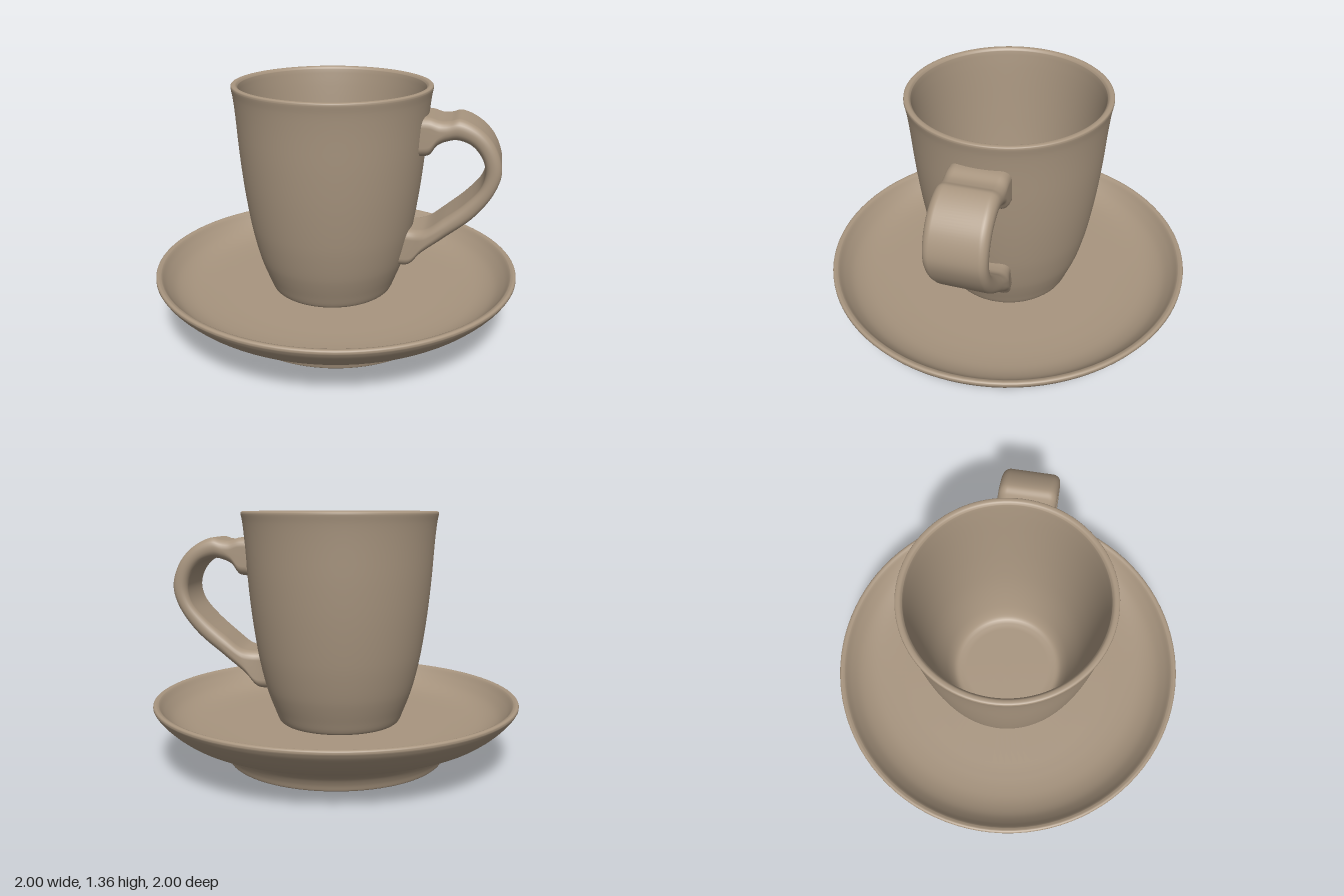
import * as THREE from 'three';

const clay = new THREE.MeshStandardMaterial({ color: 0xa8957f });
clay.name = 'clay';

// Smooth curve through [x, y] pairs
const curve = (pts) => new THREE.CatmullRomCurve3(
  pts.map(([x, y]) => new THREE.Vector3(x, y, 0)), false, 'centripetal');

// Turned body: each section is smoothed on its own, so section joints stay crisp
function turned(name, sections) {
  const profile = [];
  sections.forEach((pts, s) => {
    const steps = pts.length > 2 ? (pts.length - 1) * 4 : 6;
    curve(pts).getPoints(steps).forEach((p, i) => {
      if (s && i === 0) return;
      profile.push(new THREE.Vector2(Math.max(0, p.x), p.y));
    });
  });
  const mesh = new THREE.Mesh(new THREE.LatheGeometry(profile, 96), clay);
  mesh.name = name;
  return mesh;
}

// Outline of a rounded rectangle as [u, v] pairs
function roundedRect(halfU, halfV, r, n = 6) {
  const out = [];
  [[1, 1], [-1, 1], [-1, -1], [1, -1]].forEach(([su, sv], q) => {
    for (let i = 0; i <= n; i++) {
      const a = (q + i / n) * Math.PI / 2;
      out.push([su * (halfU - r) + r * Math.cos(a), sv * (halfV - r) + r * Math.sin(a)]);
    }
  });
  return out;
}

// Strap handle: rounded sections spanning between an outer and an inner edge curve
function buildHandle() {
  const outer = curve([[0.46, 1.222], [0.51, 1.22], [0.565, 1.205], [0.61, 1.208], [0.66, 1.22],
    [0.76, 1.175], [0.84, 1.09], [0.882, 0.96], [0.855, 0.85], [0.76, 0.71], [0.6, 0.57],
    [0.485, 0.475], [0.42, 0.4], [0.35, 0.39]]);
  const inner = curve([[0.46, 1.015], [0.51, 1.025], [0.548, 1.075], [0.595, 1.1], [0.65, 1.11],
    [0.725, 1.085], [0.78, 1.02], [0.8, 0.945], [0.78, 0.865], [0.7, 0.77], [0.6, 0.685],
    [0.51, 0.615], [0.46, 0.602], [0.4, 0.6]]);
  const rings = 104, positions = [], indices = [];
  let count = 0;
  for (let i = 0; i <= rings; i++) {
    const t = i / rings;
    const o = outer.getPoint(t), n = inner.getPoint(t);
    const mid = o.clone().add(n).multiplyScalar(0.5);
    const thick = o.distanceTo(n);
    const dir = o.clone().sub(n).normalize();
    const halfWidth = 0.155 - 0.025 * THREE.MathUtils.smoothstep(t, 0.8, 1);
    const ring = roundedRect(halfWidth, thick / 2, Math.min(0.05, thick * 0.45));
    count = ring.length;
    ring.forEach(([u, v]) => positions.push(mid.x + dir.x * v, mid.y + dir.y * v, u));
  }
  for (let i = 0; i < rings; i++) {
    for (let j = 0; j < count; j++) {
      const k = (j + 1) % count;
      const a = i * count + j, b = i * count + k;
      indices.push(a, a + count, b, b, a + count, b + count);
    }
  }
  const geometry = new THREE.BufferGeometry();
  geometry.setAttribute('position', new THREE.Float32BufferAttribute(positions, 3));
  geometry.setIndex(indices);
  geometry.computeVertexNormals();
  // Make sure the strap faces outward: its rightmost vertex must point to +x
  const p = geometry.attributes.position, nrm = geometry.attributes.normal;
  let far = 0;
  for (let i = 0; i < p.count; i++) if (p.getX(i) > p.getX(far)) far = i;
  if (nrm.getX(far) < 0) {
    geometry.setIndex(indices.reverse());
    geometry.computeVertexNormals();
  }
  const mesh = new THREE.Mesh(geometry, clay);
  mesh.name = 'handle';
  return mesh;
}

export function createModel() {
  const group = new THREE.Group();
  group.name = 'cupAndSaucer';

  group.add(turned('saucer', [
    // recessed underside and foot ring
    [[0, 0.02], [0.53, 0.02]],
    [[0.53, 0.02], [0.545, 0.008], [0.56, 0], [0.59, 0], [0.598, 0.006]],
    // outer bowl
    [[0.598, 0.006], [0.61, 0.04], [0.64, 0.085], [0.73, 0.14], [0.83, 0.17], [0.9, 0.215],
      [0.95, 0.26], [0.985, 0.3], [1, 0.325]],
    // rim
    [[1, 0.325], [0.999, 0.338], [0.988, 0.344], [0.97, 0.338]],
    // inner slope and flat floor
    [[0.97, 0.338], [0.94, 0.3], [0.89, 0.255], [0.82, 0.224], [0.73, 0.21], [0.62, 0.205]],
    [[0.62, 0.205], [0, 0.205]],
  ]));

  const cup = new THREE.Group();
  cup.name = 'cup';
  const body = turned('cupBody', [
    [[0, 0.207], [0.325, 0.207]],
    // outer wall
    [[0.325, 0.207], [0.336, 0.217], [0.36, 0.275], [0.385, 0.34], [0.405, 0.4], [0.43, 0.5],
      [0.45, 0.6], [0.479, 0.8], [0.499, 1], [0.513, 1.2], [0.523, 1.3], [0.531, 1.345]],
    // lip
    [[0.531, 1.345], [0.529, 1.356], [0.52, 1.36], [0.505, 1.358], [0.494, 1.345]],
    // inner wall rounding into the floor
    [[0.494, 1.345], [0.483, 1.25], [0.46, 1], [0.439, 0.8], [0.41, 0.6], [0.37, 0.43],
      [0.335, 0.33], [0.305, 0.29], [0.26, 0.28]],
    [[0.26, 0.28], [0, 0.28]],
  ]);
  body.position.x = -0.02;
  cup.add(body, buildHandle());
  group.add(cup);
  return group;
}
